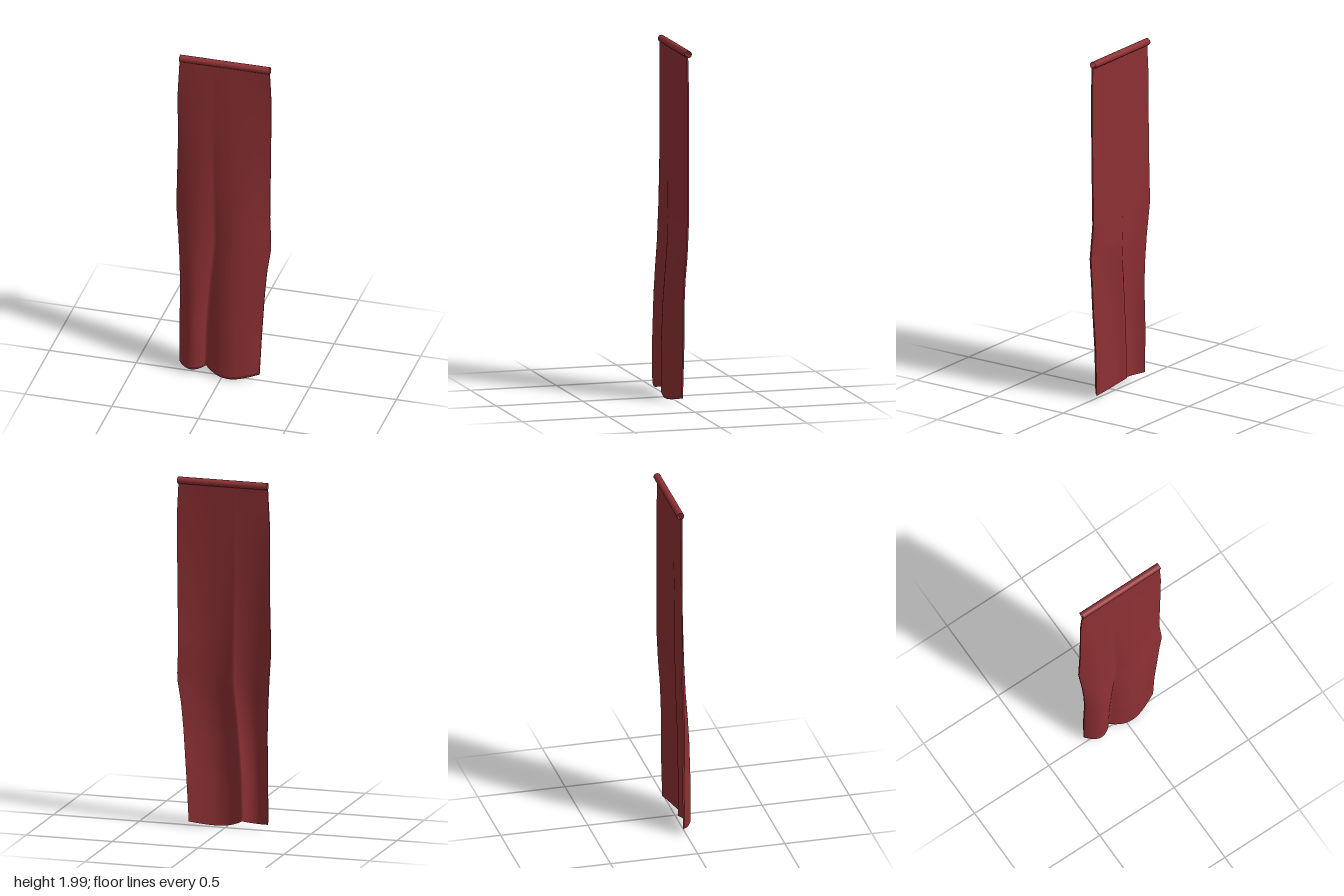
import * as THREE from 'three';

// Cloth rows: y, left edge x, fold x, right edge x, edge z, fold z, lobe depth
const ROWS = [
  [0.00, -0.255, -0.100, 0.205, -0.010, 0.002, 0.048],
  [0.30, -0.254, -0.092, 0.220, -0.014, 0.002, 0.053],
  [0.55, -0.250, -0.075, 0.237, -0.010, 0.002, 0.045],
  [0.70, -0.254, -0.060, 0.250, -0.012, 0.000, 0.038],
  [0.85, -0.262, -0.047, 0.272, -0.018, -0.003, 0.030],
  [1.04, -0.277, -0.050, 0.262, -0.029, -0.006, 0.026],
  [1.40, -0.268, -0.060, 0.267, -0.027, -0.010, 0.014],
  [1.77, -0.268, -0.060, 0.271, -0.026, -0.018, 0.005],
  [1.965, -0.257, -0.050, 0.262, -0.024, -0.024, 0.0],
];
const THICK = 0.009, HEM = 0.02, TOP = 1.965;

// Piecewise interpolation of the rows at height y
function rowAt(y) {
  let i = 0;
  while (i < ROWS.length - 2 && y > ROWS[i + 1][0]) i++;
  const a = ROWS[i], b = ROWS[i + 1];
  const k = THREE.MathUtils.clamp((y - a[0]) / (b[0] - a[0]), 0, 1);
  return a.map((v, j) => THREE.MathUtils.lerp(v, b[j], k));
}

// Point on the cloth: u runs left to right (-1..1), s runs bottom to top (0..1)
function clothPoint(u, s, back) {
  const L = THREE.MathUtils.lerp;
  const left = u < 0;
  const t = left ? u + 1 : 1 - u; // 0 at the outer edge, 1 at the fold
  const lobe = Math.pow(Math.max(0, Math.sin(Math.PI * Math.pow(t, left ? 1 : 1.2))), 0.85);
  const bottom = left ? L(0.045, 0.05, t) - 0.015 * lobe : L(0.03, 0.05, t) - 0.035 * lobe;
  const start = bottom + (back ? 0 : HEM);
  const y = L(start, TOP, s);
  const [, xl, xf, xr, ze, zf, depth] = rowAt(y);
  const x = L(left ? xl : xr, xf, t);
  const z = L(ze, zf, t) + depth * lobe * (left ? 0.93 : 1) - (back ? THICK : 0);
  return [x, y, z];
}

// Smooth grid surface from a point function of a, b in 0..1
function grid(fn, na, nb) {
  const pos = [], idx = [];
  for (let j = 0; j <= nb; j++) for (let i = 0; i <= na; i++) pos.push(...fn(i / na, j / nb));
  for (let j = 0; j < nb; j++) for (let i = 0; i < na; i++) {
    const p = j * (na + 1) + i, q = p + na + 1;
    idx.push(p, p + 1, q + 1, p, q + 1, q);
  }
  const g = new THREE.BufferGeometry();
  g.setAttribute('position', new THREE.Float32BufferAttribute(pos, 3));
  g.setIndex(idx);
  g.computeVertexNormals();
  return g;
}

export function createModel() {
  const group = new THREE.Group();
  group.name = 'hangingBanner';
  const red = new THREE.MeshStandardMaterial({ color: 0x8e3033, side: THREE.DoubleSide });
  red.name = 'redCloth';
  const add = (name, geometry) => {
    const mesh = new THREE.Mesh(geometry, red);
    mesh.name = name;
    group.add(mesh);
    return mesh;
  };
  const mix = (p, q, k) => p.map((v, i) => THREE.MathUtils.lerp(v, q[i], k));

  // Front and back faces of the draped cloth
  add('clothFront', grid((a, b) => clothPoint(a * 2 - 1, b, false), 48, 48));
  add('clothBack', grid((a, b) => clothPoint(1 - a * 2, b, true), 48, 48));

  // Hem strip along the wavy bottom
  add('bottomHem', grid((a, b) =>
    mix(clothPoint(a * 2 - 1, 0, true), clothPoint(a * 2 - 1, 0, false), b), 48, 1));

  // Narrow side edges
  for (const side of [-1, 1]) {
    add(side < 0 ? 'rightEdge' : 'leftEdge', grid((a, b) =>
      mix(clothPoint(side, b, side < 0), clothPoint(side, b, side > 0), a), 1, 48));
  }

  // Open sleeve along the top
  const sleeve = add('topSleeve', new THREE.CylinderGeometry(0.02, 0.02, 0.521, 20, 1, true));
  sleeve.rotation.z = Math.PI / 2;
  sleeve.position.set(0.003, 1.98, -0.034);
  return group;
}
